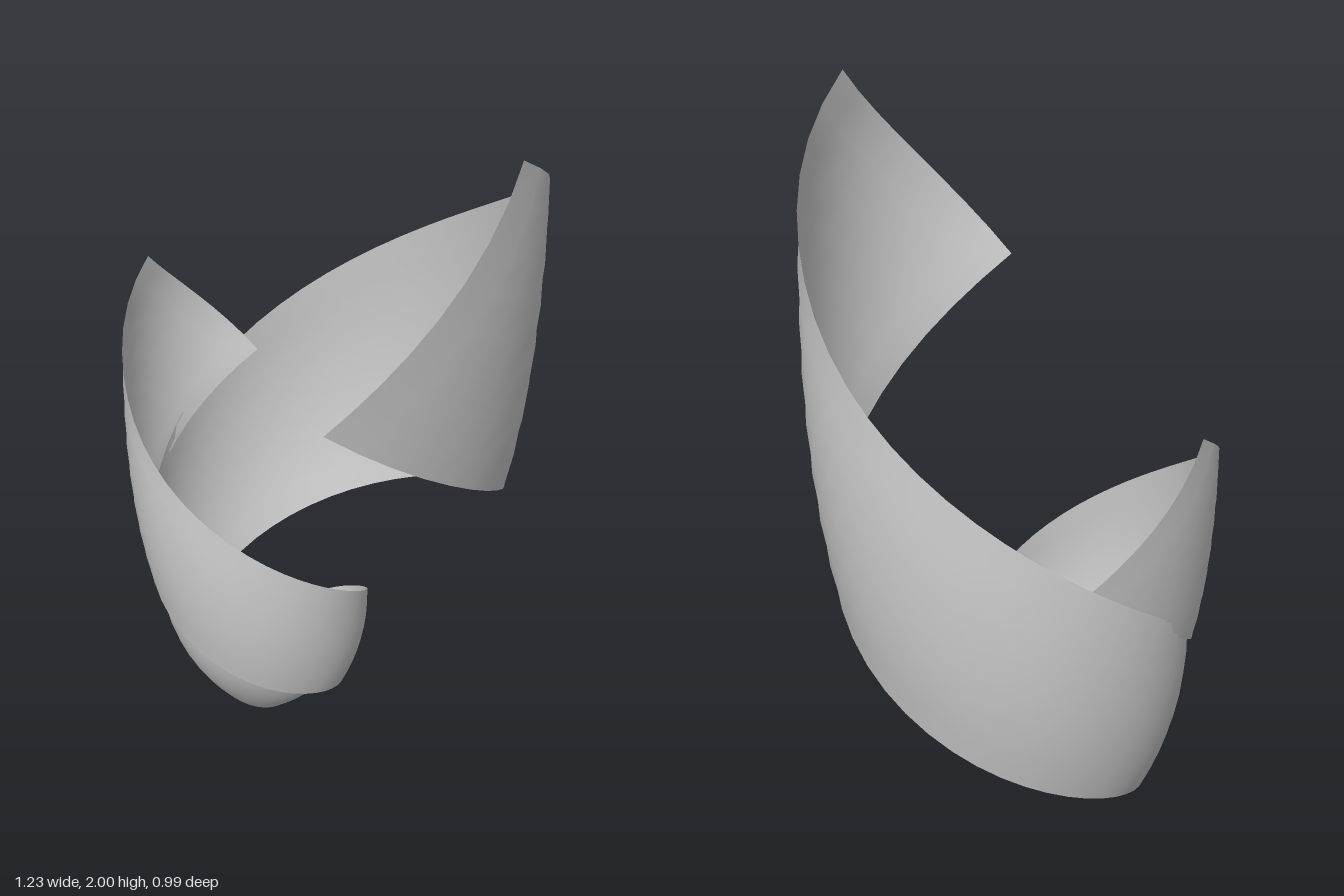
import * as THREE from 'three';

// Plan centre of the spiral
const CX = -0.134, CZ = 0.098;
const SEGMENTS = 48, ACROSS = 8;

// Smooth function of t in 0..1 through evenly spaced values
function spline(values) {
  const curve = new THREE.SplineCurve(values.map((v, i) => new THREE.Vector2(i, v)));
  return t => curve.getPoint(t).y;
}

// Radii of the lower and upper rims along the winding
const lowerRadius = spline([0.057, 0.13, 0.205, 0.305, 0.4, 0.5, 0.585, 0.645, 0.68]);
const upperRadius = spline([0.138, 0.215, 0.304, 0.357, 0.412, 0.485, 0.56, 0.638, 0.736]);

// Point on the ribbon: t runs along one full turn, v from lower to upper rim
function ribbonPoint(t, v) {
  const { lerp, degToRad } = THREE.MathUtils;
  const angle = degToRad(lerp(-332 + 368 * t, -374 + 369.5 * t, v));
  const flat = lerp(lowerRadius(t), upperRadius(t), v);
  const r = flat * (1 + 0.24 * v * (1 - v)); // outward bulge
  const y = lerp(1.39 * Math.pow(t, 2.5), 0.11 + 1.89 * Math.pow(t, 1.65), v);
  return [CX + r * Math.cos(angle), y, CZ + r * Math.sin(angle)];
}

function ribbonGeometry() {
  const positions = [], index = [];
  for (let i = 0; i <= SEGMENTS; i++) {
    for (let j = 0; j <= ACROSS; j++) {
      positions.push(...ribbonPoint(i / SEGMENTS, j / ACROSS));
      if (i < SEGMENTS && j < ACROSS) {
        const a = i * (ACROSS + 1) + j, b = a + ACROSS + 1;
        index.push(a, a + 1, b, b, a + 1, b + 1);
      }
    }
  }
  const geometry = new THREE.BufferGeometry();
  geometry.setAttribute('position', new THREE.Float32BufferAttribute(positions, 3));
  geometry.setIndex(index);
  geometry.computeVertexNormals();
  return geometry;
}

export function createModel() {
  const group = new THREE.Group();
  group.name = 'spiralShell';
  const material = new THREE.MeshStandardMaterial({ color: 0xcccccc, side: THREE.DoubleSide });
  const geometry = ribbonGeometry();

  // Tall ribbon
  const large = new THREE.Mesh(geometry, material);
  large.name = 'largeRibbon';
  group.add(large);

  // Smaller copy, half a turn round, interleaved with the tall one
  const small = new THREE.Mesh(geometry, material);
  small.name = 'smallRibbon';
  small.scale.setScalar(0.64);
  small.rotation.y = Math.PI;
  small.position.set(-0.22, 0.03, 0.161);
  group.add(small);

  return group;
}
